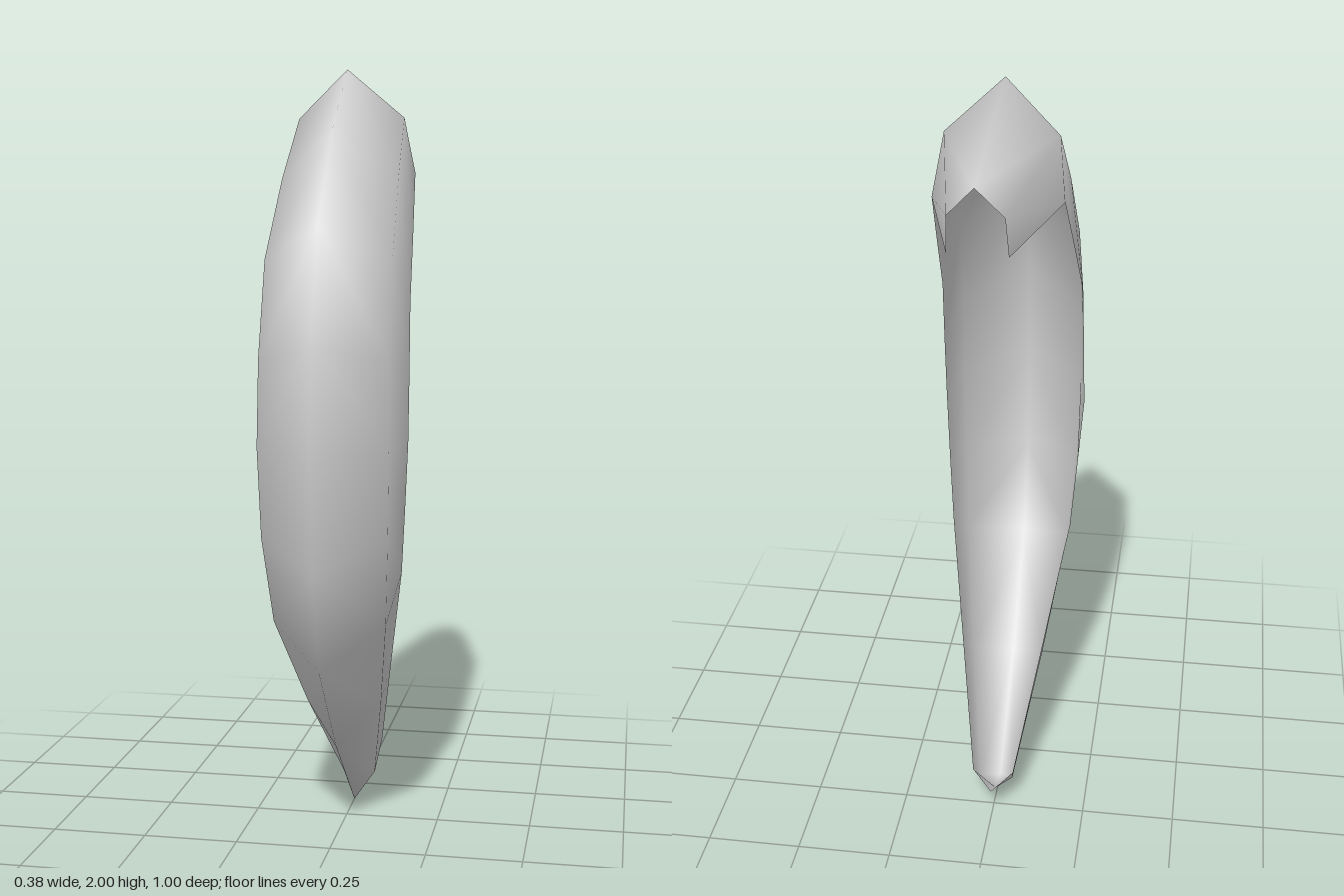
import * as THREE from 'three';

// Stations from the top beak down to the tip:
// ridge [z, y], shoulder [x, z, y], rim [x, z, y]
const stations = [
  [[-0.50, 1.89], [0.065, -0.485, 1.82], [0.07, -0.46, 1.72]],
  [[-0.01, 2.00], [0.14, -0.07, 1.88], [0.16, -0.14, 1.74]],
  [[0.20, 1.84], [0.15, 0.10, 1.72], [0.173, -0.01, 1.575]],
  [[0.40, 1.60], [0.16, 0.26, 1.52], [0.185, 0.12, 1.41]],
  [[0.48, 1.33], [0.163, 0.325, 1.28], [0.188, 0.15, 1.235]],
  [[0.50, 1.06], [0.165, 0.34, 1.06], [0.19, 0.18, 1.06]],
  [[0.47, 0.77], [0.16, 0.32, 0.83], [0.178, 0.145, 0.885]],
  [[0.39, 0.51], [0.145, 0.25, 0.60], [0.165, 0.11, 0.71]],
  [[0.16, 0.245], [0.10, 0.04, 0.33], [0.11, -0.08, 0.42]],
  [[-0.12, 0.0], [0.045, -0.20, 0.055], [0.055, -0.27, 0.13]],
];

function shellGeometry() {
  const positions = [];
  const index = [];
  const add = (x, z, y) => positions.push(x, y, z);

  // Mirrored cross-sections: rim, shoulder, ridge, shoulder, rim
  for (const [ridge, shoulder, rim] of stations) {
    add(-rim[0], rim[1], rim[2]);
    add(-shoulder[0], shoulder[1], shoulder[2]);
    add(0, ridge[0], ridge[1]);
    add(...shoulder);
    add(...rim);
  }

  // Skin between neighbouring sections
  const last = stations.length - 1;
  for (let i = 0; i < last; i++) {
    for (let j = 0; j < 4; j++) {
      const a = i * 5 + j, b = a + 5;
      // Diagonals mirror about the ridge
      if (j < 2) index.push(a, b, a + 1, b, b + 1, a + 1);
      else index.push(a, b, b + 1, a, b + 1, a + 1);
    }
  }

  // Small scoop closing the bottom tip
  const r = last * 5, keel = r + 5, lip = r + 6;
  add(0, -0.22, 0.03);
  add(0, -0.31, 0.09);
  for (let j = 0; j < 4; j++) index.push(r + j, keel, r + j + 1);
  index.push(r, lip, keel, keel, lip, r + 4);

  const geometry = new THREE.BufferGeometry();
  geometry.setAttribute('position', new THREE.Float32BufferAttribute(positions, 3));
  geometry.setIndex(index);
  geometry.computeVertexNormals();
  return geometry;
}

export function createModel() {
  const group = new THREE.Group();
  group.name = 'curvedShell';
  const grey = new THREE.MeshStandardMaterial({ color: 0xcccccc, side: THREE.DoubleSide });
  grey.name = 'light grey';
  const shell = new THREE.Mesh(shellGeometry(), grey);
  shell.name = 'shell';
  group.add(shell);
  return group;
}
